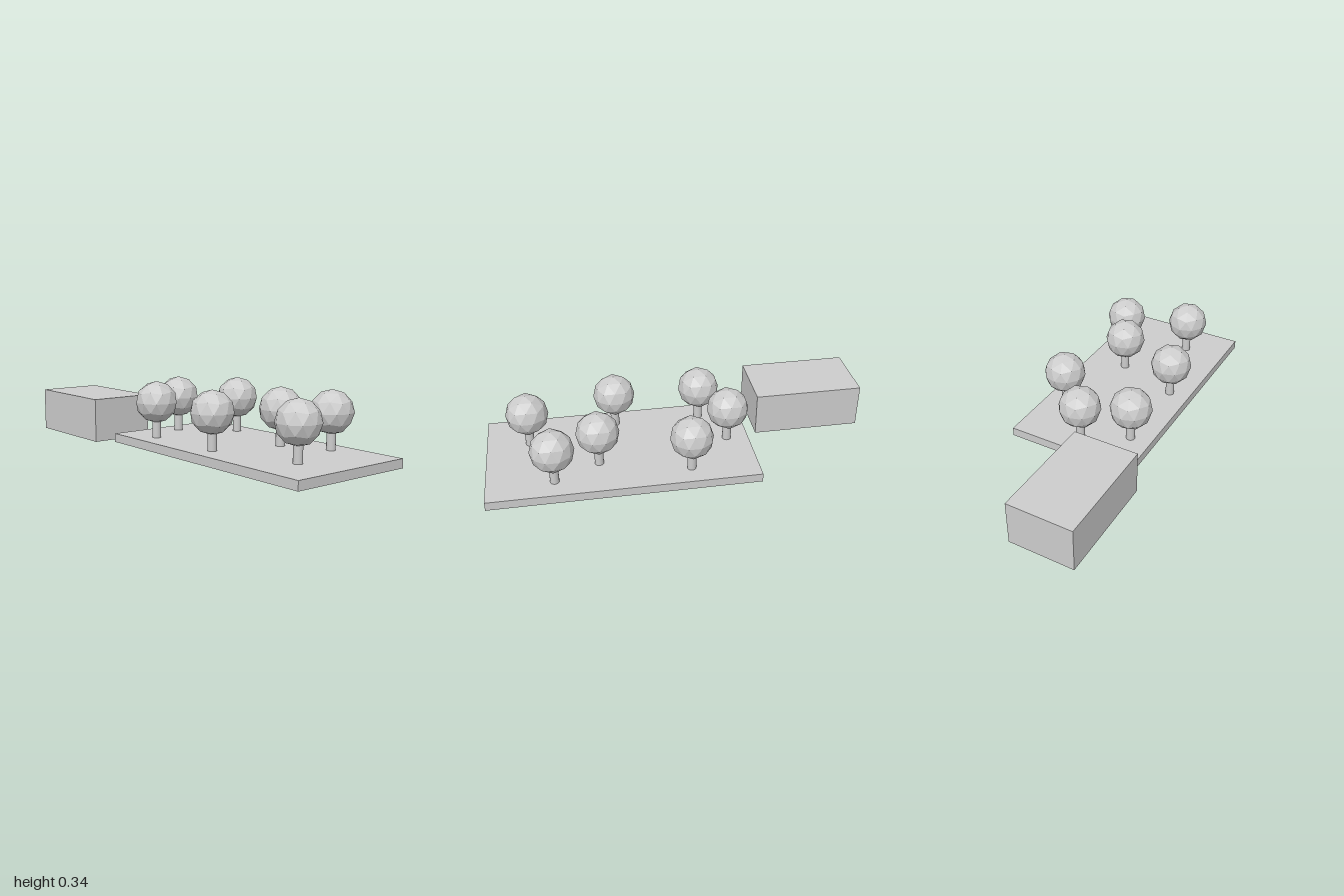
import * as THREE from 'three';

export function createModel() {
  const model = new THREE.Group();
  model.name = 'parkBlock';

  const grey = new THREE.MeshStandardMaterial({ color: 0xcccccc });
  grey.name = 'lightGrey';
  const facetedGrey = grey.clone();
  facetedGrey.flatShading = true;

  const add = (parent, name, geometry, material, x, y, z) => {
    const mesh = new THREE.Mesh(geometry, material);
    mesh.name = name;
    mesh.position.set(x, y, z);
    parent.add(mesh);
    return mesh;
  };

  // Lawn slab and the building behind it
  const slabTop = 0.046;
  add(model, 'lawnSlab', new THREE.BoxGeometry(0.68, slabTop, 1.365), grey, 0.04, slabTop / 2, 0.3175);
  add(model, 'building', new THREE.BoxGeometry(0.34, 0.229, 0.57), grey, -0.21, 0.1145, -0.715);

  // Faceted crown turned so that one corner points straight up
  const crownRadius = 0.109;
  const crownY = 0.232;
  const crown = new THREE.IcosahedronGeometry(crownRadius, 1);
  crown.rotateX(-Math.atan2((1 + Math.sqrt(5)) / 2, 1));
  crown.rotateY(-Math.PI / 2);

  // Trunk reaches a little way into the crown
  const trunkHeight = 0.1;
  const trunk = new THREE.CylinderGeometry(0.0227, 0.0227, trunkHeight, 24);

  // Trees scattered over the lawn, as [x, z]
  const places = [
    [0.04, -0.25], [-0.188, -0.137], [0.268, -0.022], [-0.188, 0.318],
    [0.153, 0.433], [0.268, 0.662], [-0.074, 0.776],
  ];
  for (const [x, z] of places) {
    const tree = new THREE.Group();
    tree.name = 'tree';
    tree.position.set(x, 0, z);
    add(tree, 'trunk', trunk, grey, 0, slabTop + trunkHeight / 2, 0);
    add(tree, 'crown', crown, facetedGrey, 0, crownY, 0);
    model.add(tree);
  }

  return model;
}
